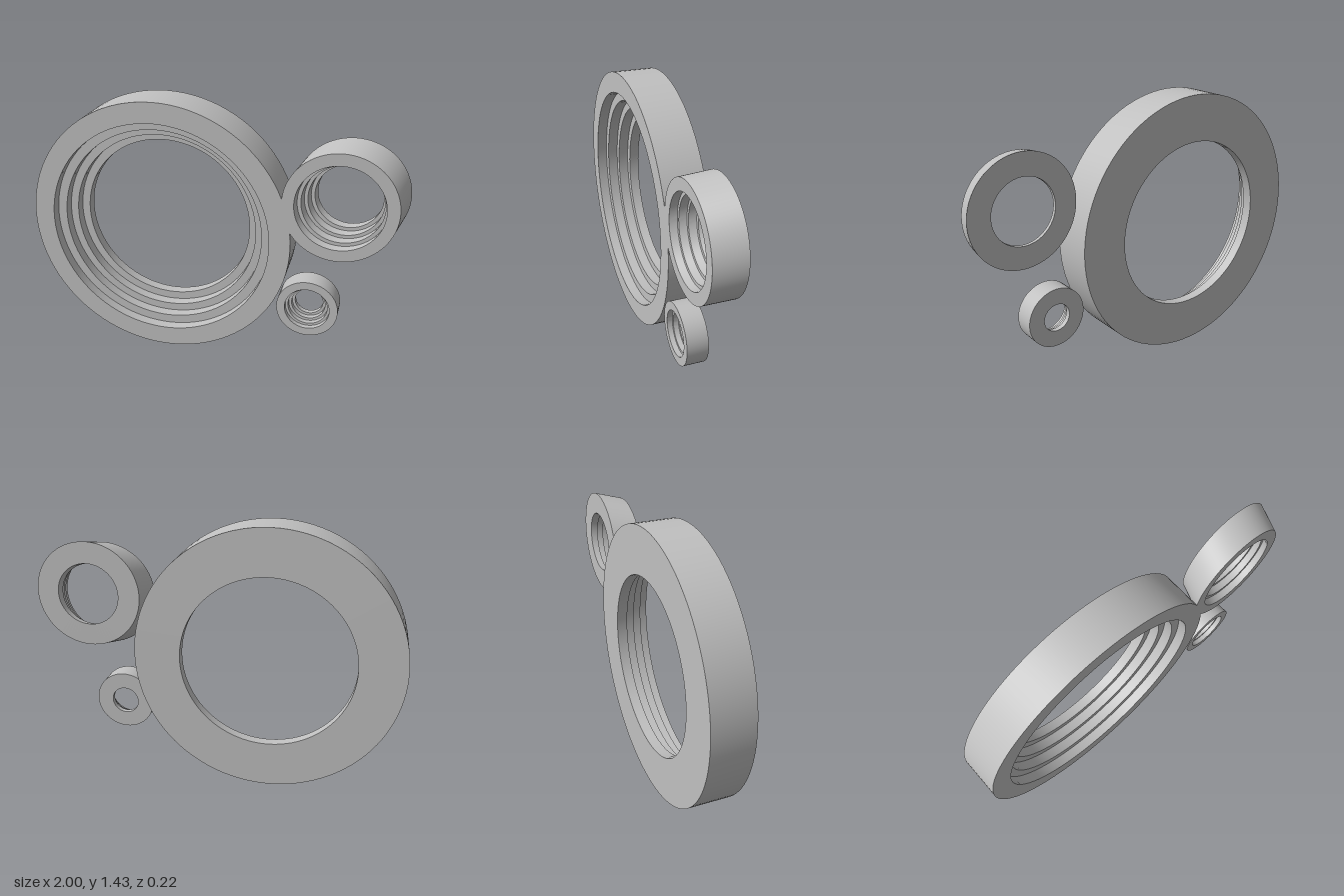
import * as THREE from 'three';
import { toCreasedNormals } from 'three/addons/utils/BufferGeometryUtils.js';

const FRONT = 0.112;

// Ring with a bore that narrows in even steps from front to back;
// lean shifts the back face sideways and up while both faces stay flat.
function steppedRing(name, material, { x, y, radius, depth, bores, lean = [0, 0] }) {
  const back = FRONT - depth;
  const step = depth / bores.length;
  const profile = [[radius, back], [radius, FRONT]];
  bores.forEach((r, i) => {
    profile.push([r, FRONT - i * step], [r, FRONT - (i + 1) * step]);
  });
  profile.push([radius, back]);

  let geometry = new THREE.LatheGeometry(profile.map(([r, h]) => new THREE.Vector2(r, h)), 96);
  geometry.rotateX(Math.PI / 2);
  const p = geometry.attributes.position;
  for (let i = 0; i < p.count; i++) {
    const t = (FRONT - p.getZ(i)) / depth;
    p.setX(i, p.getX(i) + lean[0] * t);
    p.setY(i, p.getY(i) + lean[1] * t);
  }
  geometry = toCreasedNormals(geometry, Math.PI / 6);

  const mesh = new THREE.Mesh(geometry, material);
  mesh.name = name;
  mesh.position.set(x, y, 0);
  return mesh;
}

export function createModel() {
  const group = new THREE.Group();
  group.name = 'steppedRings';
  const grey = new THREE.MeshStandardMaterial({ color: 0xc0c0c0 });
  grey.name = 'light grey';

  group.add(
    steppedRing('largeRing', grey, {
      x: -0.283, y: 0.72, radius: 0.717, depth: 0.224, bores: [0.606, 0.556, 0.512, 0.467],
    }),
    // Leaning ring touching the large one
    steppedRing('leaningRing', grey, {
      x: 0.666, y: 0.977, radius: 0.289, depth: 0.147, bores: [0.226, 0.207, 0.189, 0.17], lean: [0.043, 0.034],
    }),
    steppedRing('smallRing', grey, {
      x: 0.54, y: 0.378, radius: 0.163, depth: 0.112, bores: [0.119, 0.105, 0.09, 0.075],
    }),
  );
  return group;
}
